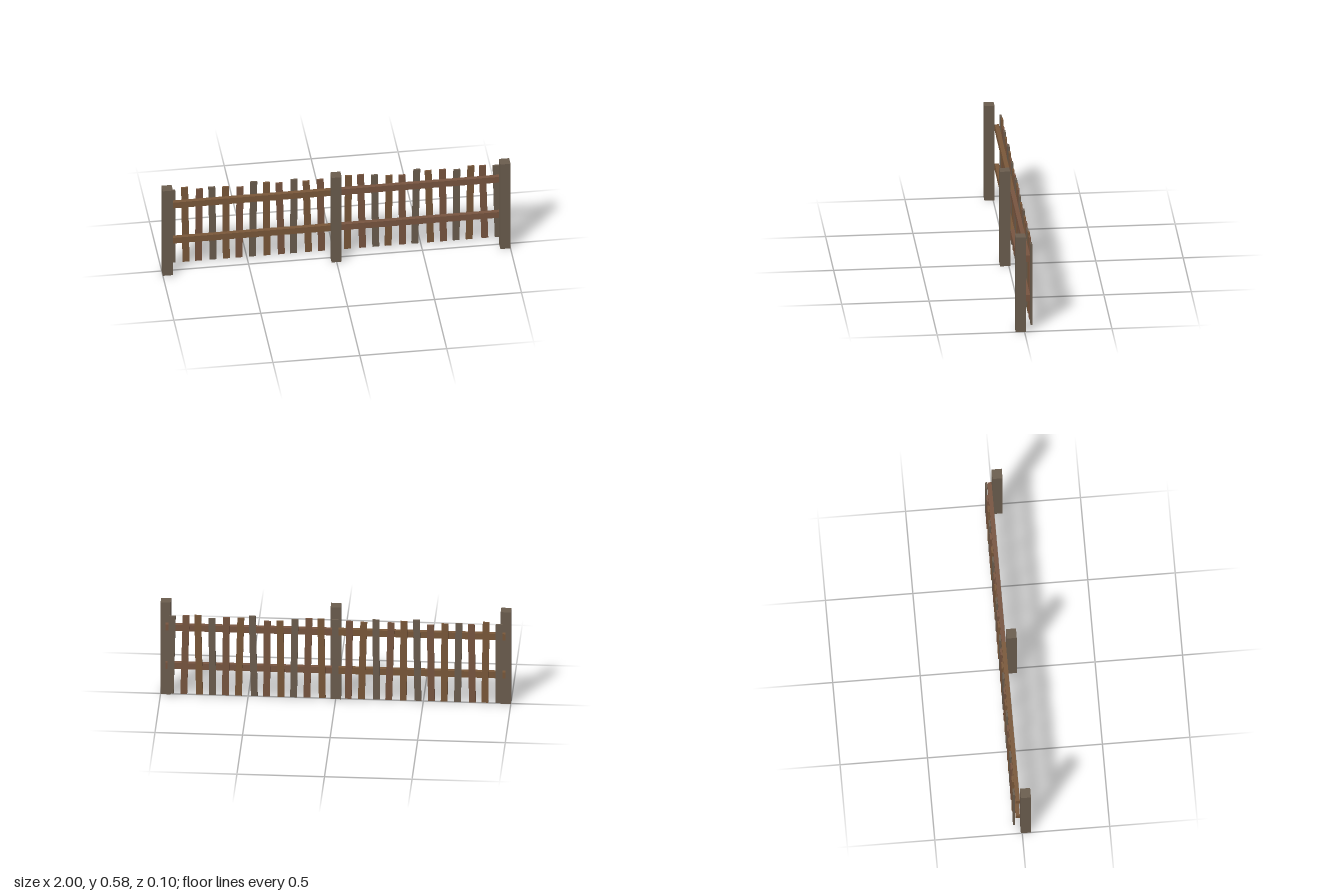
import * as THREE from 'three';

const flat = (name, color) => {
  const m = new THREE.MeshStandardMaterial({ color });
  m.name = name;
  return m;
};

export function createModel() {
  const fence = new THREE.Group();
  fence.name = 'picketFence';
  const weathered = flat('weatheredWood', 0x6b5d4e);
  const brown = flat('brownWood', 0x7a583a);
  const russet = flat('russetWood', 0x785540);

  const box = (name, material, size, x, y, z) => {
    const mesh = new THREE.Mesh(new THREE.BoxGeometry(...size), material);
    mesh.name = name;
    mesh.position.set(x, y, z);
    fence.add(mesh);
    return mesh;
  };

  // Three square posts standing in front of the rails
  for (const x of [-0.971, 0, 0.971]) box('post', weathered, [0.058, 0.584, 0.058], x, 0.292, 0.021);

  // Two rails, each made of two lengths joined behind the middle post
  for (const y of [0.195, 0.438]) {
    box('railRight', brown, [0.97, 0.039, 0.024], -0.485, y, -0.023);
    box('railLeft', russet, [0.97, 0.039, 0.024], 0.485, y, -0.023);
  }

  // Pickets of uneven height, each leaning a little; every third one is weathered
  const tops = [
    0.523, 0.535, 0.517, 0.523, 0.518, 0.508, 0.537, 0.526, 0.515, 0.531, 0.513, 0.517, 0.525,
    0.527, 0.527, 0.518, 0.506, 0.502, 0.533, 0.518, 0.518, 0.51, 0.527, 0.523, 0.518,
  ];
  // Sideways shift of each top over its foot, in thousandths
  const leans = [
    0, -8, 6, -8, -4, 6, 8, -4, -14, 4, -14, -8, 0,
    8, -12, -8, 6, -4, 12, -14, -6, 4, 10, -14, -12,
  ];
  const foot = 0.025;
  tops.forEach((top, i) => {
    const height = top - foot;
    const material = [weathered, brown, russet][i % 3];
    const picket = box('picket', material, [0.039, height, 0.011], (i - 12) * 0.078, foot + height / 2, -0.0435);
    picket.rotation.z = -leans[i] / 1000 / height;
  });

  return fence;
}
